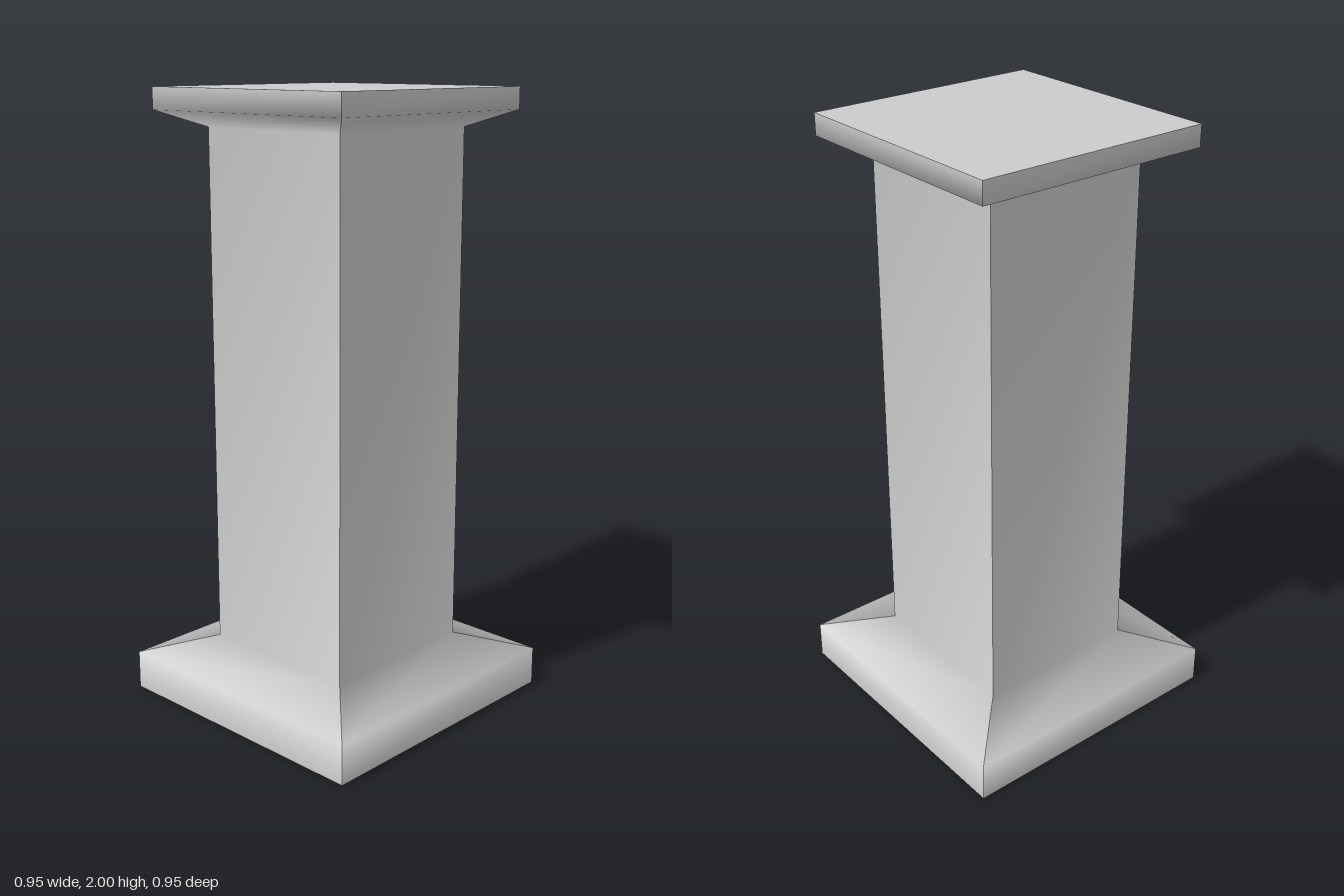
import * as THREE from 'three';

const material = new THREE.MeshStandardMaterial({ color: 0xcccccc });

// Half-width and height, from the foot of the base to the top of the capital
const profile = [
  [0.475, 0], [0.475, 0.127], // base slab
  [0.28, 0.188], [0.28, 1.878], // shaft between the two sloped collars
  [0.4, 1.93], [0.4, 2], // capital slab
];

// One face of the pillar: smooth along its height, sharp at the corners
function faceGeometry() {
  const positions = [];
  const index = [];
  profile.forEach(([r, y], i) => {
    positions.push(-r, y, r, r, y, r);
    if (i === 0) return;
    const a = 2 * (i - 1);
    index.push(a, a + 1, a + 3, a, a + 3, a + 2);
  });
  const geometry = new THREE.BufferGeometry();
  geometry.setAttribute('position', new THREE.Float32BufferAttribute(positions, 3));
  geometry.setIndex(index);
  geometry.computeVertexNormals();
  return geometry;
}

// Flat square closing one end, facing up (1) or down (-1)
function endPlate(name, [r, y], direction) {
  const plate = new THREE.Mesh(new THREE.PlaneGeometry(2 * r, 2 * r), material);
  plate.name = name;
  plate.rotation.x = -direction * Math.PI / 2;
  plate.position.y = y;
  return plate;
}

export function createModel() {
  const pillar = new THREE.Group();
  pillar.name = 'pillar';

  // Four identical faces around the vertical axis
  const geometry = faceGeometry();
  ['front', 'left', 'back', 'right'].forEach((side, i) => {
    const face = new THREE.Mesh(geometry, material);
    face.name = `${side}Face`;
    face.rotation.y = i * Math.PI / 2;
    pillar.add(face);
  });

  // Top and underside
  pillar.add(endPlate('capitalTop', profile[profile.length - 1], 1));
  pillar.add(endPlate('baseUnderside', profile[0], -1));
  return pillar;
}
